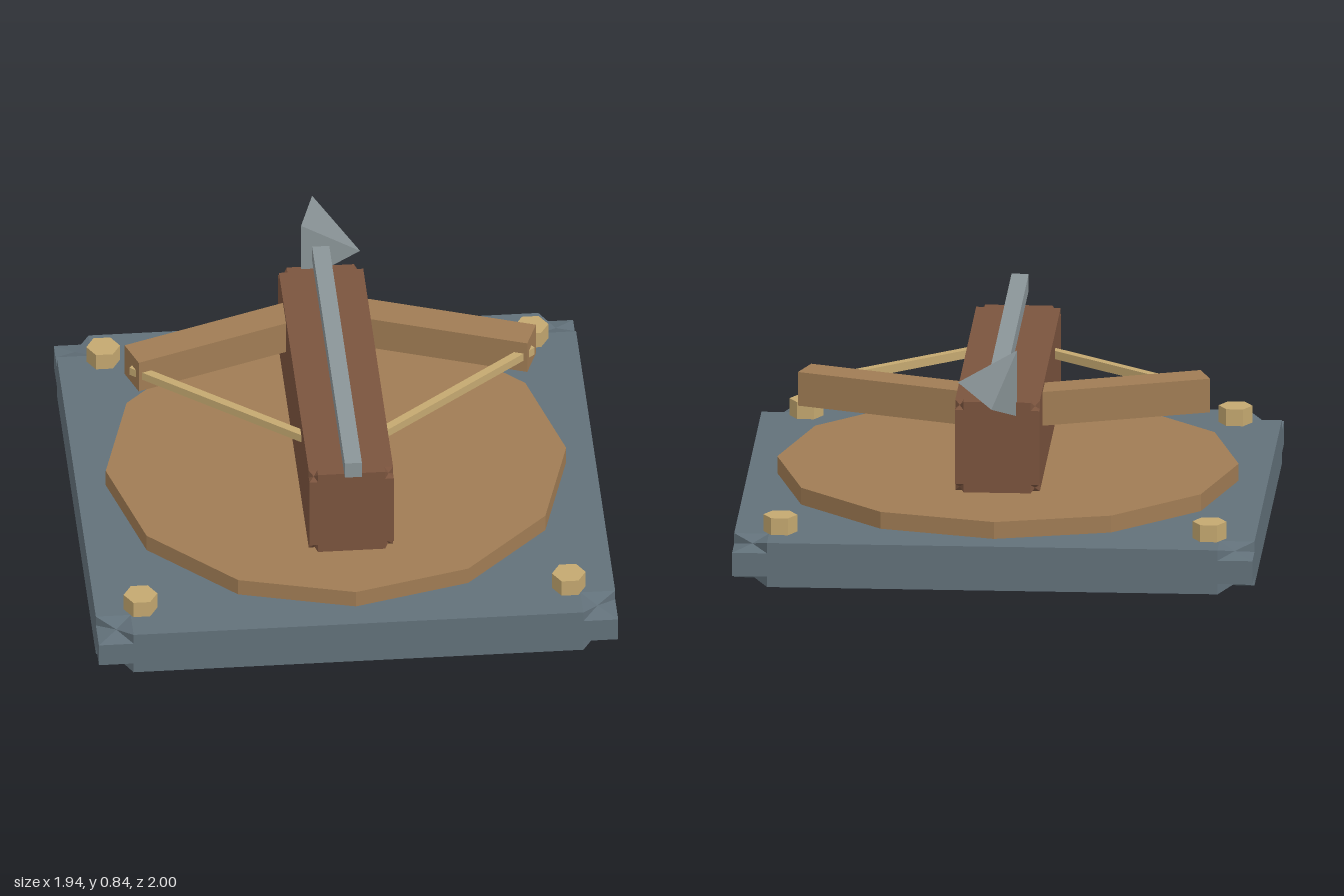
import * as THREE from 'three';

const material = (color) => new THREE.MeshStandardMaterial({ color, flatShading: true });
const slate = material(0x62717a), oak = material(0xa07c54), walnut = material(0x7b543e);
const brass = material(0xc4a870), steel = material(0x8b9598);

// Box whose eight corners are carved inwards; size and cut are [x, y, z]
function notchedBox(size, cut) {
  const half = size.map((s) => s / 2);
  const inner = half.map((h, k) => h - cut[k]);
  const out = [];
  const tri = (a, b, c, flip) => out.push(...a, ...(flip ? c : b), ...(flip ? b : c));

  // Plus-shaped faces, each made of a band and two side strips
  for (let k = 0; k < 3; k++) {
    const u = (k + 1) % 3, v = (k + 2) % 3;
    const rects = [
      [-inner[u], inner[u], -half[v], half[v]],
      [inner[u], half[u], -inner[v], inner[v]],
      [-half[u], -inner[u], -inner[v], inner[v]],
    ];
    for (const s of [-1, 1]) for (const [u0, u1, v0, v1] of rects) {
      const at = (a, b) => { const p = []; p[k] = s * half[k]; p[u] = a; p[v] = b; return p; };
      tri(at(u0, v0), at(u1, v0), at(u1, v1), s < 0);
      tri(at(u0, v0), at(u1, v1), at(u0, v1), s < 0);
    }
  }

  // Each corner is a fan of six triangles around a sunken point
  const ring = [[1, 0, 0], [1, 1, 0], [0, 1, 0], [0, 1, 1], [0, 0, 1], [1, 0, 1]];
  for (const sx of [-1, 1]) for (const sy of [-1, 1]) for (const sz of [-1, 1]) {
    const sign = [sx, sy, sz];
    const at = (m) => m.map((f, k) => sign[k] * (inner[k] + f * cut[k]));
    ring.forEach((m, i) =>
      tri(at([0.45, 0.45, 0.45]), at(m), at(ring[(i + 1) % 6]), sx * sy * sz < 0));
  }
  const g = new THREE.BufferGeometry();
  g.setAttribute('position', new THREE.Float32BufferAttribute(out, 3));
  g.computeVertexNormals();
  return g;
}

// Horizontal square bar between two [x, z] points at height y
function bar(from, to, y, height, width) {
  const dx = to[0] - from[0], dz = to[1] - from[1];
  const g = new THREE.BoxGeometry(Math.hypot(dx, dz), height, width);
  g.rotateY(-Math.atan2(dz, dx));
  return g.translate((from[0] + to[0]) / 2, y, (from[1] + to[1]) / 2);
}

export function createModel() {
  const group = new THREE.Group();
  const add = (name, geometry, mat, x = 0, y = 0, z = 0) => {
    const mesh = new THREE.Mesh(geometry, mat);
    mesh.name = name;
    mesh.position.set(x, y, z);
    group.add(mesh);
    return mesh;
  };

  // Base slab and turntable
  add('base', notchedBox([1.94, 0.17, 1.94], [0.13, 0.04, 0.13]), slate, 0, 0.085, 0.027);
  add('turntable', new THREE.CylinderGeometry(0.86, 0.86, 0.065, 12), oak, 0, 0.2025, 0.025);

  // Hexagonal studs at the corners
  const stud = new THREE.CylinderGeometry(0.063, 0.063, 0.065, 6).rotateY(Math.PI / 2);
  for (const x of [-0.8, 0.8]) for (const z of [-0.777, 0.828]) add('stud', stud, brass, x, 0.2025, z);

  // Stock
  add('stock', notchedBox([0.315, 0.35, 1.345], [0.032, 0.032, 0.032]), walnut, 0, 0.47, 0.027);

  // Bow limbs and string, left and right
  for (const s of [-1, 1]) {
    add('bowLimb', bar([s * 0.04, -0.417], [s * 0.747, -0.16], 0.565, 0.13, 0.125), oak);
    add('bowString', bar([0, 0.455], [s * 0.747, -0.155], 0.565, 0.032, 0.032), brass);
  }

  // Loaded bolt: square shaft and three-sided head
  add('boltShaft', new THREE.BoxGeometry(0.064, 0.064, 1.41), steel, 0, 0.713, 0.07);
  const head = new THREE.ConeGeometry(0.147, 0.37, 3).rotateX(-Math.PI / 2).rotateZ(-Math.PI / 2);
  add('boltHead', head, steel, 0, 0.715, -0.815);

  return group;
}
